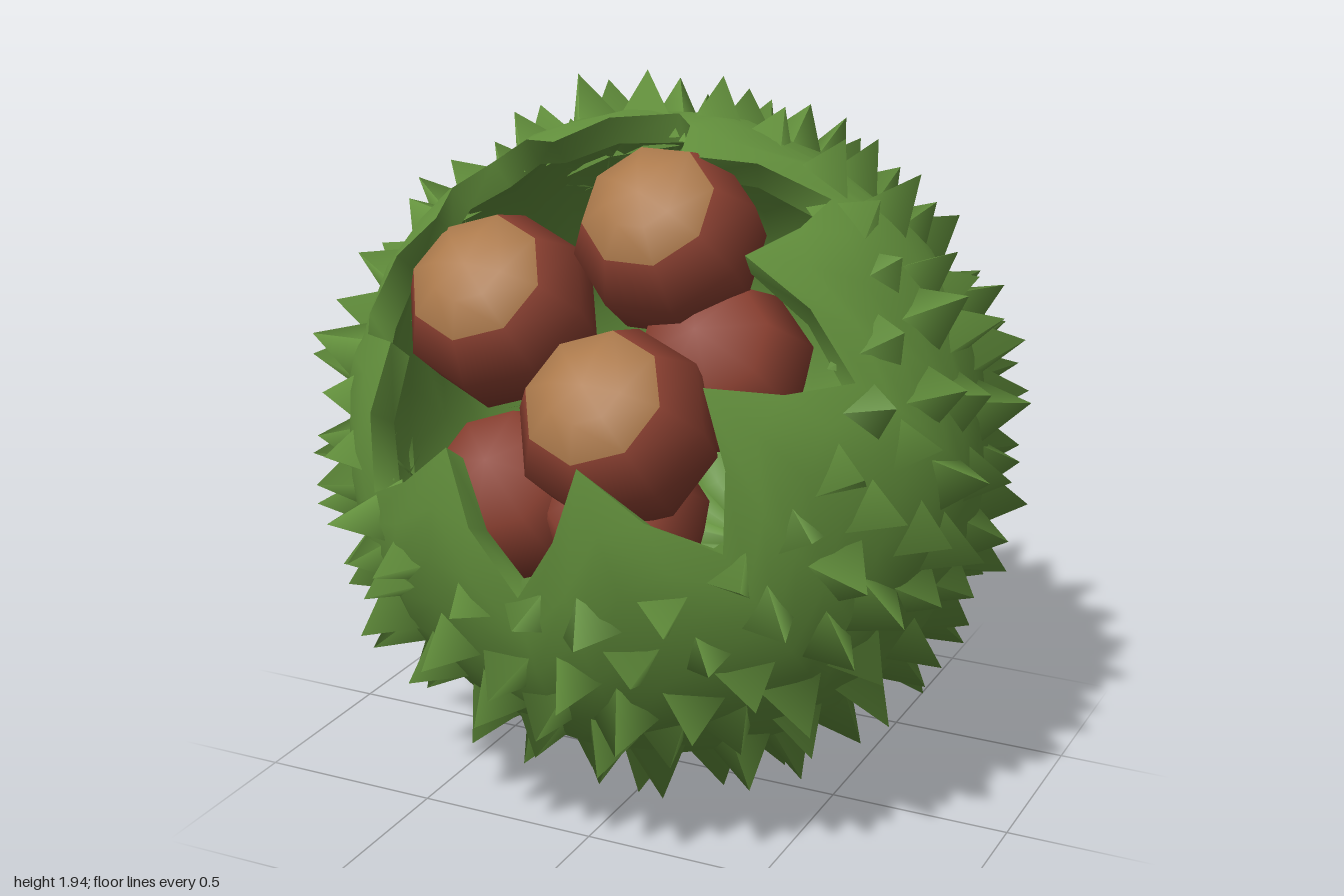
import * as THREE from 'three';
import { mergeGeometries } from 'three/addons/utils/BufferGeometryUtils.js';

const TILT = 0.84;            // the opening faces forward and up
const DEG = Math.PI / 180;
const SIDES = 32, TEETH = 8;

let seed = 7;
const rand = () => (seed = (seed * 16807) % 2147483647) / 2147483647;

// Point at a polar angle from the opening axis and an azimuth around it
const polarPoint = (r, polar, az) => new THREE.Vector3(
  r * Math.sin(polar) * Math.sin(az), r * Math.cos(polar), r * Math.sin(polar) * Math.cos(az));

// Zigzag rim: 1 at a tooth tip, 0 in a notch
const tooth = (az) => {
  const t = (az / (Math.PI * 2) * TEETH) % 1;
  return 1 - Math.abs(2 * t - 1);
};
const rimPolar = (az) => (52 - 22 * tooth(az)) * DEG;

// Closed band of quads; pointAt(v, az) gives each row from v = 0 to 1
function band(rows, pointAt) {
  const pos = [], index = [];
  for (let i = 0; i <= rows; i++)
    for (let j = 0; j < SIDES; j++) pos.push(...pointAt(i / rows, j / SIDES * Math.PI * 2).toArray());
  for (let i = 0; i < rows; i++)
    for (let j = 0; j < SIDES; j++) {
      const a = i * SIDES + j, b = i * SIDES + (j + 1) % SIDES;
      index.push(a, a + SIDES, b, b, a + SIDES, b + SIDES);
    }
  const g = new THREE.BufferGeometry();
  g.setAttribute('position', new THREE.Float32BufferAttribute(pos, 3));
  g.setIndex(index);
  g.computeVertexNormals();
  return g;
}

// Three-sided thorn standing on the husk, shaded softly into it
function thorn(polar, az) {
  const tip = 0.94 + rand() * 0.06, base = 0.8;
  const g = new THREE.ConeGeometry(0.105 + rand() * 0.03, tip - base, 3, 1, true);
  g.rotateY(rand() * Math.PI * 2);
  const dir = polarPoint(1, polar, az);
  const q = new THREE.Quaternion().setFromUnitVectors(new THREE.Vector3(0, 1, 0), dir);
  g.applyQuaternion(q);
  const c = dir.clone().multiplyScalar((tip + base) / 2);
  g.translate(c.x, c.y, c.z);
  const n = g.attributes.normal, v = new THREE.Vector3();
  for (let i = 0; i < n.count; i++) {
    v.fromBufferAttribute(n, i).addScaledVector(dir, 0.8).normalize();
    n.setXYZ(i, v.x, v.y, v.z);
  }
  return g;
}

export function createModel() {
  const green = new THREE.MeshStandardMaterial({ name: 'husk green', color: 0x67963f, side: THREE.DoubleSide });
  const brown = new THREE.MeshStandardMaterial({ name: 'nut brown', color: 0x8a3f30 });
  const tan = new THREE.MeshStandardMaterial({ name: 'nut tan', color: 0xac7a4c });

  const root = new THREE.Group();
  root.name = 'openNutHusk';
  const add = (parent, name, geometry, material) => {
    const m = new THREE.Mesh(geometry, material);
    m.name = name;
    parent.add(m);
    return m;
  };

  const husk = new THREE.Group();
  husk.name = 'husk';
  husk.position.y = 0.96;
  husk.rotation.x = TILT;
  root.add(husk);

  // Outer wall from the toothed rim down to the flat base
  const rimRadius = (az) => 0.87 + 0.05 * tooth(az);
  const outer = (v, az) => {
    if (v === 1) return polarPoint(0.935, 151 * DEG, az);
    const t = v / 0.9;
    return polarPoint(THREE.MathUtils.lerp(rimRadius(az), 0.86, Math.min(1, t * 3)),
      THREE.MathUtils.lerp(rimPolar(az), 126 * DEG, t), az);
  };
  add(husk, 'outerWall', band(10, outer), green);

  // Thick lip and hollow inside
  const inner = (v, az) => polarPoint(rimRadius(az) - 0.08,
    THREE.MathUtils.lerp(rimPolar(az) + 0.04, Math.PI - 0.01, v), az);
  add(husk, 'lip', band(1, (v, az) => v ? outer(0, az) : inner(0, az)), green);
  add(husk, 'innerWall', band(8, (v, az) => inner(1 - v, az)), green);

  // Flat base
  const base = new THREE.CircleGeometry(0.453, SIDES);
  base.rotateX(Math.PI / 2);
  base.translate(0, -0.818, 0);
  add(husk, 'base', base, green);

  // Thorns in staggered rings
  const thorns = [];
  for (let row = 0; row < 7; row++) {
    const polar = (56 + row * 11.2) * DEG;
    const count = Math.round(Math.PI * 2 * Math.sin(polar) / 0.21);
    for (let i = 0; i < count; i++)
      thorns.push(thorn(polar + (rand() - 0.5) * 0.06, (i + (row % 2) / 2 + (rand() - 0.5) * 0.3) / count * Math.PI * 2));
  }
  add(husk, 'thorns', mergeGeometries(thorns), green);

  // Nuts: x, y, z, radius, pale cap or not
  const nuts = [
    [-0.30, 1.37, 0.37, 0.255, true],
    [0.13, 1.58, 0.27, 0.245, true],
    [0.14, 1.18, 0.59, 0.255, true],
    [0.27, 1.25, 0.25, 0.24, false],
    [-0.19, 0.92, 0.50, 0.235, false],
    [0.12, 0.90, 0.50, 0.22, false],
  ];
  nuts.forEach(([x, y, z, r, capped], i) => {
    const nut = new THREE.Group();
    nut.name = 'nut' + (i + 1);
    nut.position.set(x, y, z);
    nut.rotation.set(TILT, 0, 0);
    const split = capped ? 0.78 : 0;
    add(nut, 'shell', new THREE.SphereGeometry(r, 8, 4, i * 0.4, Math.PI * 2, split, Math.PI - split), brown);
    if (capped) add(nut, 'paleCap', new THREE.SphereGeometry(r, 8, 2, i * 0.4, Math.PI * 2, 0, split), tan);
    root.add(nut);
  });
  return root;
}
